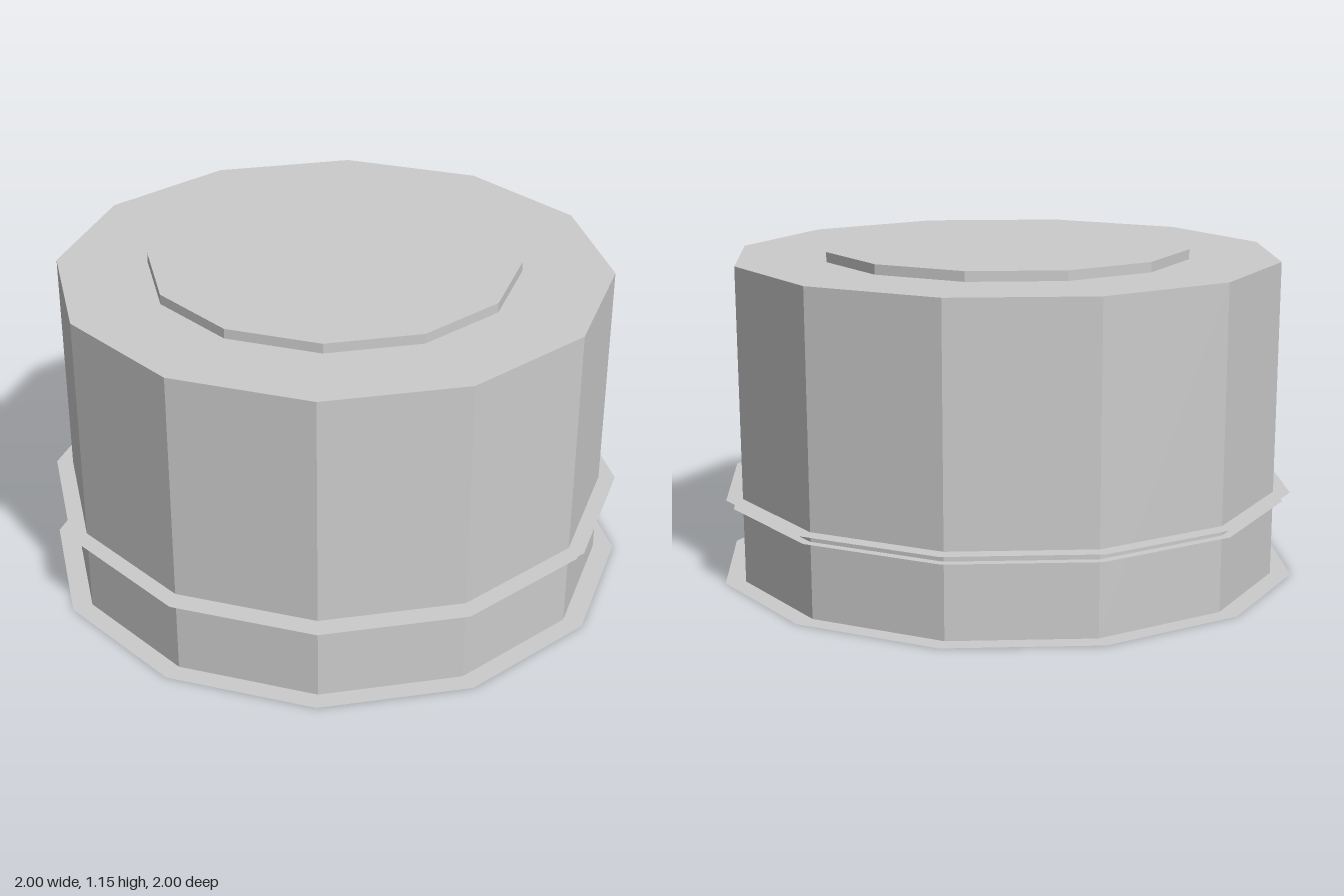
import * as THREE from 'three';

const SIDES = 12;
const TURN = Math.PI / SIDES; // puts a flat side towards the front
const radius = (flat) => flat / Math.cos(TURN); // centre-to-side distance to corner radius

const material = new THREE.MeshStandardMaterial({
  color: 0xcccccc, flatShading: true, side: THREE.DoubleSide,
});

function add(group, name, geometry, y) {
  const mesh = new THREE.Mesh(geometry, material);
  mesh.name = name;
  mesh.position.y = y;
  group.add(mesh);
}

// Twelve-sided drum standing on its base
function drum(top, bottom, height, open) {
  return new THREE.CylinderGeometry(radius(top), radius(bottom), height, SIDES, 1, open, TURN)
    .translate(0, height / 2, 0);
}

// Paper-thin flat collar
function collar(inner, outer) {
  return new THREE.RingGeometry(radius(inner), radius(outer), SIDES, 1, TURN)
    .rotateX(-Math.PI / 2);
}

export function createModel() {
  const group = new THREE.Group();
  group.name = 'drumContainer';

  // Slightly flared body with its flat top
  add(group, 'bodyWall', drum(0.94, 0.93, 1.12, true), 0);
  add(group, 'bodyTop', new THREE.CircleGeometry(radius(0.94), SIDES, TURN).rotateX(-Math.PI / 2), 1.12);

  // Raised disc on top
  add(group, 'topDisc', drum(0.63, 0.63, 0.035, false), 1.12);

  // Thin collars round the lower body
  add(group, 'upperCollar', collar(0.932, 0.99), 0.3);
  add(group, 'lowerCollar', collar(0.932, 0.965), 0.267);

  // Flat base plate
  add(group, 'basePlate', new THREE.CircleGeometry(radius(1), SIDES, TURN).rotateX(-Math.PI / 2), 0);

  return group;
}
